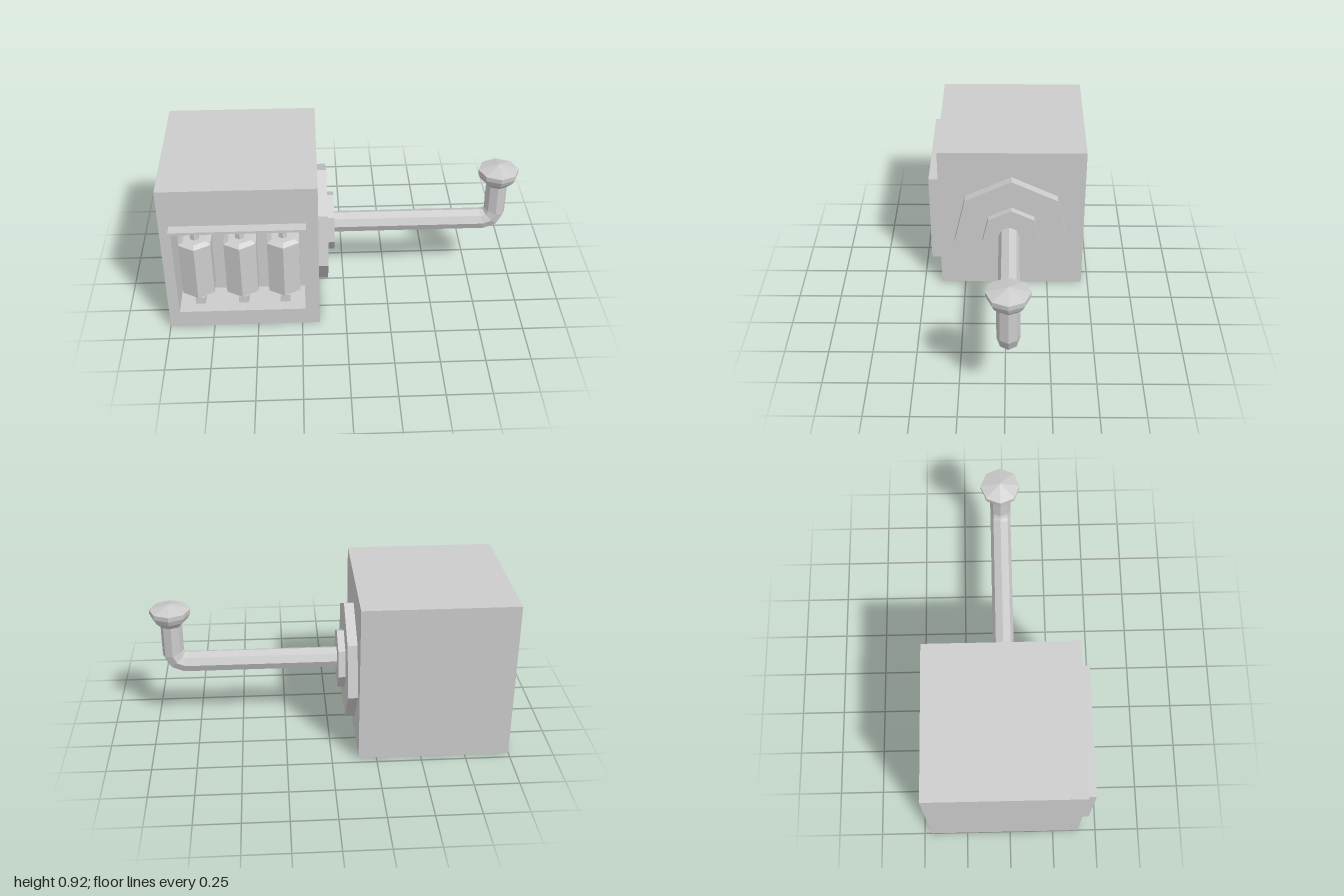
import * as THREE from 'three';

const material = new THREE.MeshStandardMaterial({ color: 0xcccccc, flatShading: true });

function add(parent, name, geometry, x = 0, y = 0, z = 0) {
  const mesh = new THREE.Mesh(geometry, material);
  mesh.name = name;
  mesh.position.set(x, y, z);
  parent.add(mesh);
  return mesh;
}

// Box given by its lower and upper corners
function block(parent, name, [x0, y0, z0], [x1, y1, z1]) {
  return add(parent, name, new THREE.BoxGeometry(x1 - x0, y1 - y0, z1 - z0),
    (x0 + x1) / 2, (y0 + y1) / 2, (z0 + z1) / 2);
}

function rectangle(Type, x0, y0, x1, y1) {
  return new Type([[x0, y0], [x1, y0], [x1, y1], [x0, y1]].map(p => new THREE.Vector2(...p)));
}

// Rectangular ring with the window opening, extruded from z0 to z1
function windowRing(parent, name, x0, y0, x1, y1, z0, z1) {
  const shape = rectangle(THREE.Shape, x0, y0, x1, y1);
  shape.holes.push(rectangle(THREE.Path, -0.93, 0.155, -0.23, 0.685));
  add(parent, name, new THREE.ExtrudeGeometry(shape, { depth: z1 - z0, bevelEnabled: false }), 0, 0, z0);
}

// Octagonal tube: each ring is [x, y, heading angle, radius, mitre stretch]
function loftCrank(rings, z, sides = 8) {
  const positions = [], index = [];
  for (const [x, y, heading, radius, stretch = 1] of rings) {
    for (let i = 0; i < sides; i++) {
      const a = (i / sides) * Math.PI * 2;
      const u = Math.cos(a) * radius * stretch;
      positions.push(x - Math.sin(heading) * u, y + Math.cos(heading) * u, z + Math.sin(a) * radius);
    }
  }
  for (let r = 0; r < rings.length - 1; r++) {
    for (let i = 0; i < sides; i++) {
      const a = r * sides + i, b = r * sides + (i + 1) % sides;
      index.push(a, b, b + sides, a, b + sides, a + sides);
    }
  }
  const geometry = new THREE.BufferGeometry();
  geometry.setAttribute('position', new THREE.Float32BufferAttribute(positions, 3));
  geometry.setIndex(index);
  geometry.computeVertexNormals();
  return geometry;
}

function createRoller(x) {
  const roller = new THREE.Group();
  roller.name = 'roller';
  roller.position.set(x, 0.42, 0.36);
  // Hexagonal drum with chamfered ends
  const profile = [[0, -0.178], [0.07, -0.178], [0.1, -0.163], [0.1, 0.163], [0.07, 0.178], [0, 0.178]];
  add(roller, 'rollerDrum', new THREE.LatheGeometry(profile.map(p => new THREE.Vector2(...p)), 6));
  add(roller, 'rollerAxle', new THREE.CylinderGeometry(0.027, 0.027, 0.48, 6));
  // Bearing blocks above and below
  for (const side of [-1, 1]) {
    add(roller, 'bearingBlock', new THREE.BoxGeometry(0.055, 0.05, 0.055), 0, side * 0.245, 0);
  }
  return roller;
}

export function createModel() {
  const model = new THREE.Group();
  model.name = 'crankBox';

  // Housing with a window recess in the front, and its lid
  block(model, 'housing', [-1, 0, -0.46], [-0.15, 0.86, 0.25]);
  windowRing(model, 'housingFront', -1, 0, -0.15, 0.86, 0.25, 0.395);
  block(model, 'lid', [-1, 0.86, -0.46], [-0.15, 0.92, 0.395]);
  windowRing(model, 'windowFrame', -0.945, 0.14, -0.215, 0.7, 0.395, 0.455);

  // Three upright rollers in the window
  for (const x of [-0.818, -0.575, -0.342]) model.add(createRoller(x));

  // Stepped seven-sided hub on the side, one corner pointing up
  for (const [name, radius, x0, x1] of [['hubPlate', 0.346, -0.15, -0.095], ['hubCap', 0.173, -0.095, -0.055]]) {
    const geometry = new THREE.CylinderGeometry(radius, radius, x1 - x0, 7);
    geometry.rotateY(-Math.PI / 2).rotateZ(-Math.PI / 2);
    // Turn the corner to the top whichever way the rotation left it
    geometry.computeBoundingBox();
    const { min, max } = geometry.boundingBox;
    if (max.y < -min.y) geometry.rotateX(Math.PI);
    add(model, name, geometry, (x0 + x1) / 2, 0.415, -0.03);
  }

  // Crank arm bending up into the handle
  const up = Math.PI / 2;
  add(model, 'crankArm', loftCrank([
    [-0.07, 0.412, 0, 0.061],
    [0.81, 0.412, up * 0.16, 0.061, 1.03],
    [0.858, 0.43, up * 0.5, 0.061, 1.05],
    [0.88, 0.475, up * 0.84, 0.061, 1.03],
    [0.88, 0.66, up, 0.061],
  ], -0.0175));

  // Flared knob with a low pointed top
  const knob = [[0.06, 0.65], [0.1, 0.69], [0.114, 0.72], [0.115, 0.747], [0, 0.778]];
  add(model, 'knob', new THREE.LatheGeometry(knob.map(p => new THREE.Vector2(...p)), 8), 0.883, 0, -0.0175);

  return model;
}
